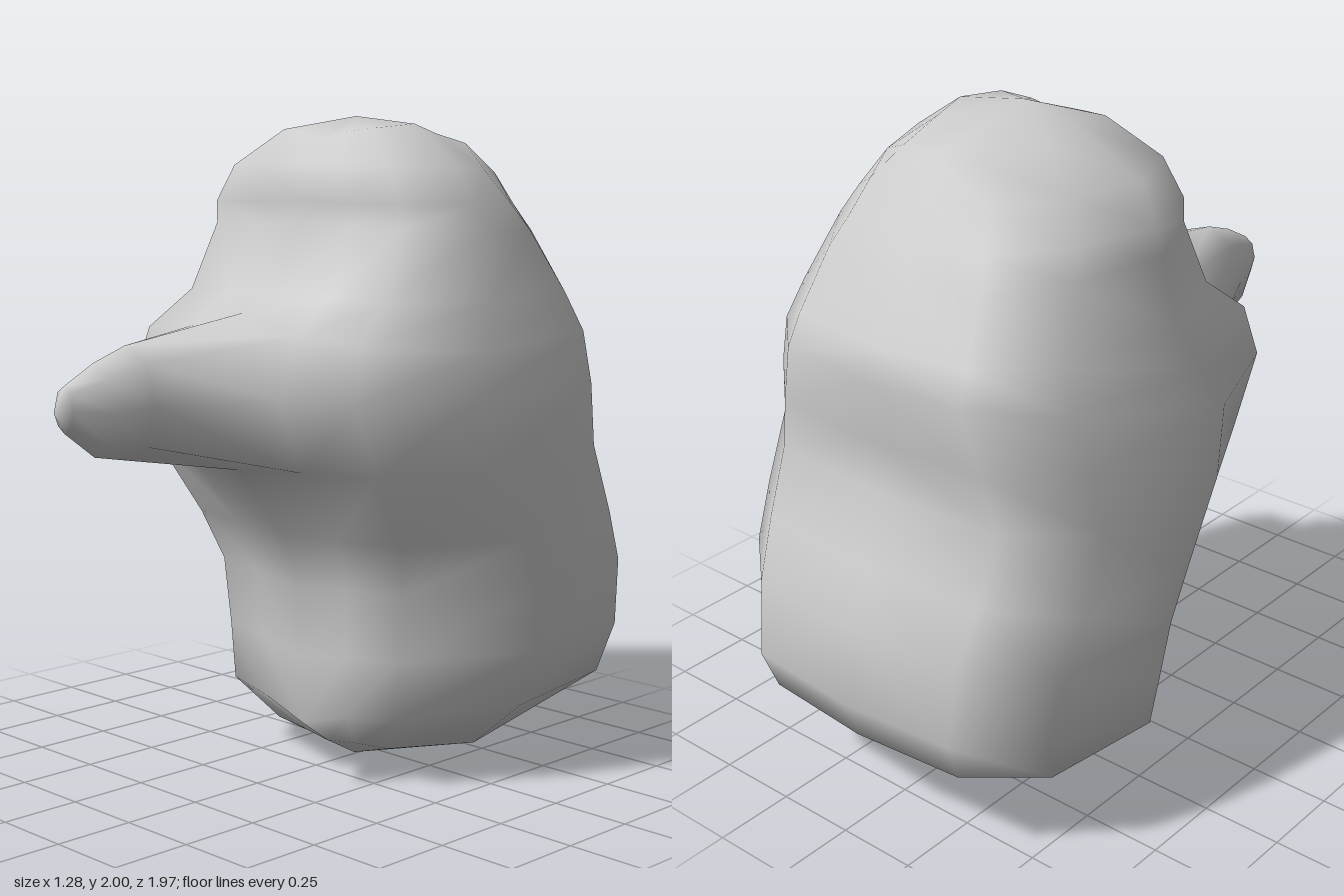
import * as THREE from 'three';

const COLS = 12;

// Rings of the head, top to bottom:
// heights (front, middle, back), z (front, front corner, back),
// half widths (front corner, side, rear side, back corner)
const RINGS = [
  [1.93, 1.975, 1.92, -0.02, -0.05, -0.53, 0.19, 0.21, 0.20, 0.15],
  [1.86, 1.85, 1.83, 0.07, 0.03, -0.59, 0.33, 0.41, 0.34, 0.22],
  [1.75, 1.74, 1.73, 0.08, 0.05, -0.65, 0.39, 0.47, 0.40, 0.25],
  [1.69, 1.67, 1.65, 0.07, 0.04, -0.70, 0.40, 0.51, 0.43, 0.28],
  [1.48, 1.47, 1.47, 0.17, 0.13, -0.80, 0.42, 0.545, 0.49, 0.31],
  [1.43, 1.33, 1.38, 0.30, 0.27, -0.84, 0.46, 0.58, 0.53, 0.32],
  [1.20, 1.20, 1.20, 0.41, 0.32, -0.82, 0.48, 0.61, 0.58, 0.37],
  [0.97, 1.00, 1.03, 0.32, 0.23, -0.80, 0.47, 0.63, 0.61, 0.41],
  [0.75, 0.77, 0.83, 0.14, 0.09, -0.88, 0.43, 0.64, 0.615, 0.40],
  [0.58, 0.62, 0.66, 0.075, 0.03, -0.95, 0.39, 0.635, 0.60, 0.38],
  [0.36, 0.42, 0.43, 0.065, 0.02, -0.98, 0.37, 0.61, 0.57, 0.37],
  [0.15, 0.25, 0.30, 0.06, 0.02, -0.93, 0.35, 0.57, 0.54, 0.36],
  [0.07, 0.10, 0.18, -0.05, -0.07, -0.70, 0.24, 0.40, 0.36, 0.24],
];
const BEAK_TOP = 5; // the beak grows out of rings 5 to 7, columns -1 to 1

// Beak sections: z, centre height, half height, half width
const BEAK = [
  [0.74, 1.205, 0.16, 0.13],
  [0.85, 1.195, 0.13, 0.09],
  [0.95, 1.205, 0.065, 0.04],
];

function createHeadGeometry() {
  const pos = [];
  const index = [];
  const add = (x, y, z) => pos.push(x, y, z) / 3 - 1;
  const at = (ring, col) => ring * COLS + ((col + COLS) % COLS);
  const lerp = THREE.MathUtils.lerp;

  // Two triangles; the diagonal flips so both halves match
  const quad = (a, b, c, d, flip) => {
    if (flip) index.push(a, b, c, a, c, d);
    else index.push(a, b, d, b, c, d);
  };

  // Head rings, mirrored about x = 0
  for (const [yf, ym, yb, zf, zc, zb, xf, w, xr, xb] of RINGS) {
    const half = [
      [0, yf, zf],
      [xf * 0.5, lerp(yf, ym, 0.5), lerp(zf, zc, 0.3)],
      [xf, lerp(yf, ym, 0.7), zc],
      [w, ym, lerp(zf, zb, 0.36)],
      [xr, lerp(ym, yb, 0.5), zb + 0.22],
      [xb, yb, zb + 0.03],
      [0, yb, zb],
    ];
    for (let c = 0; c < COLS; c++) {
      const [x, y, z] = half[c <= 6 ? c : COLS - c];
      add(c <= 6 ? x : -x, y, z);
    }
  }

  // Skin between rings, left open where the beak joins
  for (let r = 0; r < RINGS.length - 1; r++) {
    for (let c = 0; c < COLS; c++) {
      const beakRow = r === BEAK_TOP || r === BEAK_TOP + 1;
      if (beakRow && (c === 0 || c === COLS - 1)) continue;
      quad(at(r, c), at(r + 1, c), at(r + 1, c + 1), at(r, c + 1), c >= COLS / 2);
    }
  }

  // Crown and underside
  const crown = add(0, 2, -0.17);
  const base = add(-0.01, 0, -0.18);
  const last = RINGS.length - 1;
  for (let c = 0; c < COLS; c++) {
    index.push(crown, at(0, c), at(0, c + 1));
    index.push(at(last, c), base, at(last, c + 1));
  }

  // Beak, bridged from the opening to its tip
  const t = BEAK_TOP;
  let loop = [
    at(t + 2, -1), at(t + 2, 0), at(t + 2, 1), at(t + 1, 1),
    at(t, 1), at(t, 0), at(t, -1), at(t + 1, -1),
  ];
  for (const [z, y, h, w] of BEAK) {
    const next = loop.map((_, i) => {
      const angle = (i - 3) * Math.PI / 4;
      return add(w * Math.cos(angle), y + h * Math.sin(angle), z);
    });
    loop.forEach((a, i) => {
      const j = (i + 1) % 8;
      quad(a, loop[j], next[j], next[i], i >= 1 && i <= 4);
    });
    loop = next;
  }
  const tip = add(0, 1.2, 0.985);
  loop.forEach((a, i) => index.push(a, loop[(i + 1) % 8], tip));

  const geometry = new THREE.BufferGeometry();
  geometry.setAttribute('position', new THREE.Float32BufferAttribute(pos, 3));
  geometry.setIndex(index);
  geometry.computeVertexNormals();
  return geometry;
}

export function createModel() {
  const group = new THREE.Group();
  group.name = 'beakedHead';
  const head = new THREE.Mesh(
    createHeadGeometry(),
    new THREE.MeshStandardMaterial({ color: 0xcccccc })
  );
  head.name = 'headWithBeak';
  group.add(head);
  return group;
}
